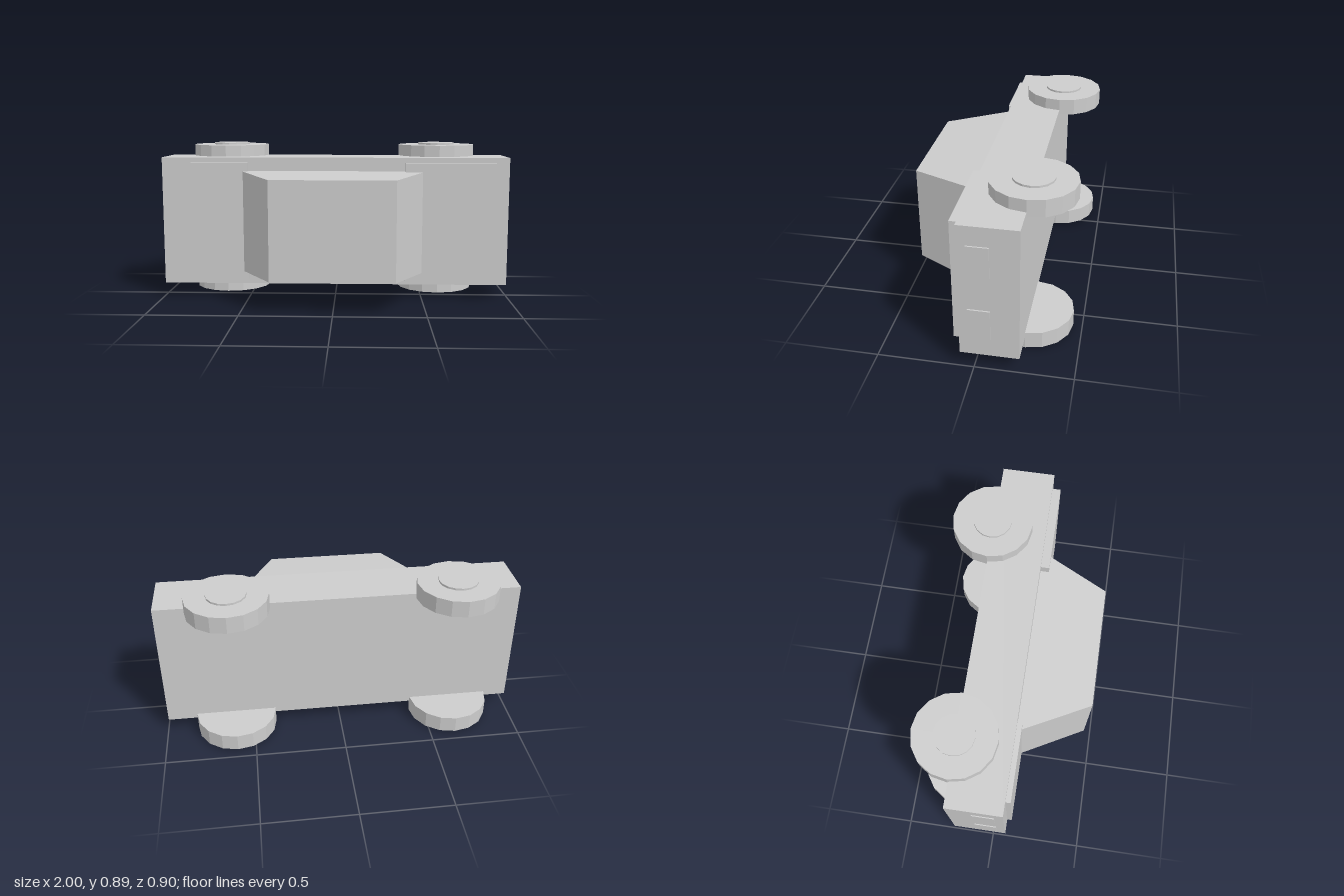
import * as THREE from 'three';

export function createModel() {
  const car = new THREE.Group();
  car.name = 'carOnItsSide';
  const grey = new THREE.MeshStandardMaterial({ color: 0xcccccc, flatShading: true });
  grey.name = 'plain grey';

  const add = (name, geometry) => {
    const mesh = new THREE.Mesh(geometry, grey);
    mesh.name = name;
    car.add(mesh);
    return mesh;
  };

  // Box given by its lower and upper limits on each axis
  const block = (name, [x0, x1], [y0, y1], [z0, z1]) =>
    add(name, new THREE.BoxGeometry(x1 - x0, y1 - y0, z1 - z0))
      .position.set((x0 + x1) / 2, (y0 + y1) / 2, (z0 + z1) / 2);

  // Upright disc between two heights
  const disc = (name, x, z, radius, y0, y1) =>
    add(name, new THREE.CylinderGeometry(radius, radius, y1 - y0, 16))
      .position.set(x, (y0 + y1) / 2, z);

  // Body with a raised panel at each end; the car's roof faces +z
  block('body', [-0.997, 0.99], [0.077, 0.812], [-0.227, 0.073]);
  block('trunkPanel', [-0.92, -0.5], [0.107, 0.783], [0.05, 0.1]);
  block('hoodPanel', [0.4, 0.915], [0.107, 0.783], [0.05, 0.121]);

  // Cabin: a box whose roof end is drawn in on all four sides
  const cabin = new THREE.BoxGeometry(1, 1, 1);
  const p = cabin.attributes.position;
  for (let i = 0; i < p.count; i++) {
    const roof = p.getZ(i) > 0;
    const right = p.getX(i) > 0;
    const x = roof ? (right ? 0.335 : -0.34) : (right ? 0.52 : -0.541);
    const halfWidth = roof ? 0.273 : 0.291;
    p.setXYZ(i, x, 0.444 + Math.sign(p.getY(i)) * halfWidth, roof ? 0.453 : 0.073);
  }
  cabin.computeVertexNormals();
  add('cabin', cabin);

  // Wheels and hubs, mirrored about the car's middle height
  const middle = 0.444;
  for (const x of [-0.64, 0.6]) {
    for (const side of [-1, 1]) {
      const span = (a, b) => [middle + side * a, middle + side * b].sort((m, n) => m - n);
      disc('wheel', x, -0.227, 0.225, ...span(0.34, 0.433));
      disc('hub', x, -0.227, 0.108, ...span(0.4, 0.444));
    }
  }

  // Two thin lights on each end
  for (const [y0, y1] of [[0.181, 0.349], [0.54, 0.708]]) {
    block('headlight', [0.985, 0.998], [y0, y1], [-0.084, 0.028]);
    block('tailLight', [-1.002, -0.99], [y0, y1], [-0.093, 0.026]);
  }

  return car;
}
